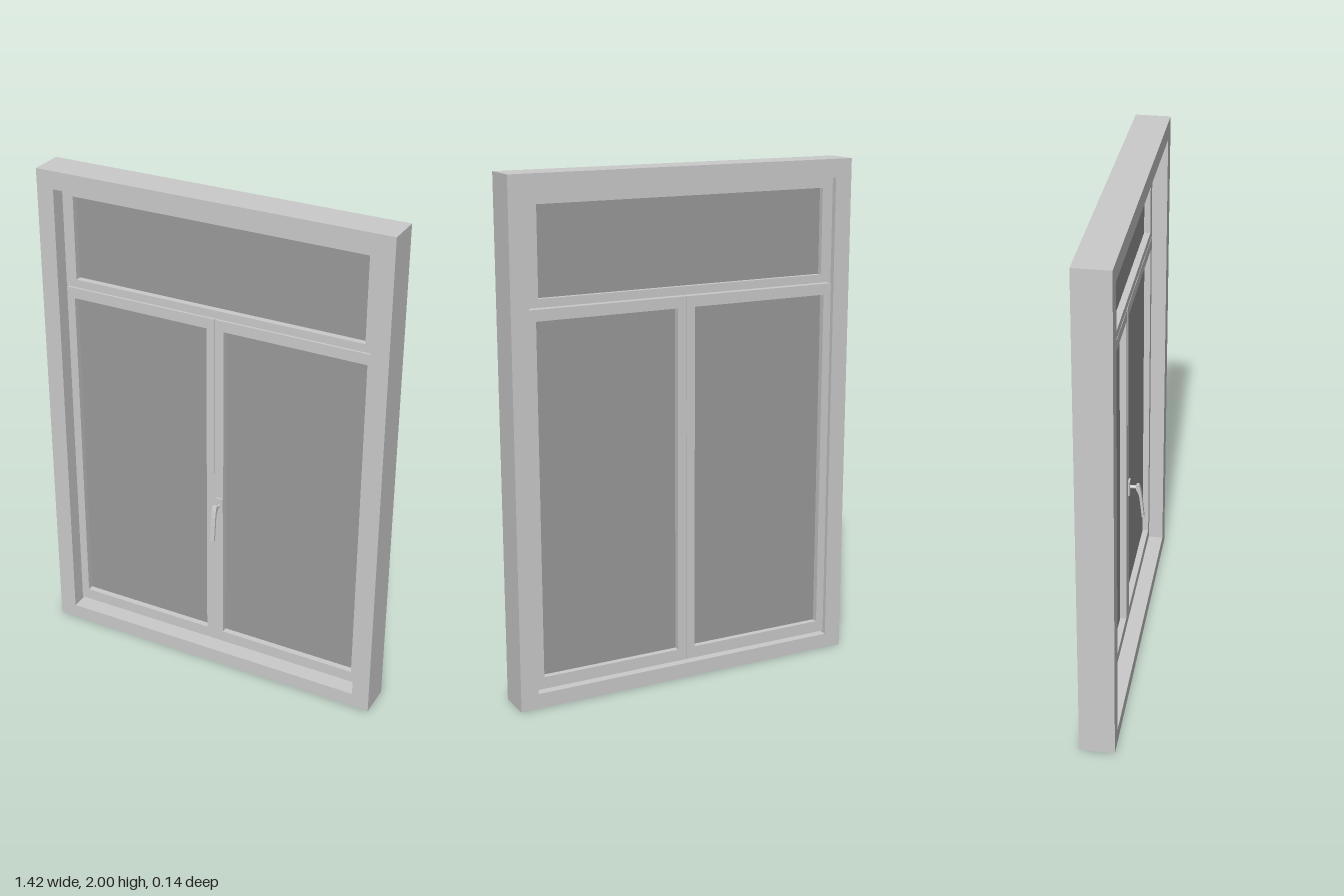
import * as THREE from 'three';

const grey = new THREE.MeshStandardMaterial({ color: 0xcccccc });
const glassGrey = new THREE.MeshStandardMaterial({ color: 0x9b9b9b });

function mesh(name, geometry, material = grey) {
  const m = new THREE.Mesh(geometry, material);
  m.name = name;
  return m;
}

// Box given by its minimum and maximum corners
function block(name, [x0, y0, z0], [x1, y1, z1], material) {
  const m = mesh(name, new THREE.BoxGeometry(x1 - x0, y1 - y0, z1 - z0), material);
  m.position.set((x0 + x1) / 2, (y0 + y1) / 2, (z0 + z1) / 2);
  return m;
}

function trace(path, [x0, y0, x1, y1]) {
  path.moveTo(x0, y0);
  path.lineTo(x1, y0);
  path.lineTo(x1, y1);
  path.lineTo(x0, y1);
  path.closePath();
  return path;
}

// Rectangular ring; rectangles are [left, bottom, right, top]
function ring(name, outer, inner, z0, z1) {
  const shape = trace(new THREE.Shape(), outer);
  shape.holes.push(trace(new THREE.Path(), inner));
  const geometry = new THREE.ExtrudeGeometry(shape, { depth: z1 - z0, bevelEnabled: false });
  geometry.translate(0, 0, z0);
  return mesh(name, geometry);
}

// Sash ring with its pane set into the middle of the depth
function sash(name, outer, pane, z0, z1) {
  const group = new THREE.Group();
  group.name = name;
  const [l, b, r, t] = pane;
  group.add(
    ring('sashFrame', outer, pane, z0, z1),
    block('glass', [l, b, -0.03], [r, t, -0.02], glassGrey)
  );
  return group;
}

// Lever handle: base plate, neck and a grip bent outward as it drops
function handle() {
  const group = new THREE.Group();
  group.name = 'handle';
  const neck = mesh('handleNeck', new THREE.CylinderGeometry(0.007, 0.007, 0.045, 12));
  neck.rotation.x = Math.PI / 2;
  neck.position.set(0.02, 0.725, 0.027);

  // Side profile, drawn as (z, y)
  const side = new THREE.Shape();
  side.moveTo(0.037, 0.738);
  side.lineTo(0.048, 0.738);
  side.quadraticCurveTo(0.056, 0.715, 0.060, 0.68);
  side.lineTo(0.069, 0.59);
  side.lineTo(0.060, 0.59);
  side.lineTo(0.050, 0.68);
  side.quadraticCurveTo(0.046, 0.705, 0.037, 0.715);
  side.closePath();
  const grip = new THREE.ExtrudeGeometry(side, { depth: 0.018, bevelEnabled: false, curveSegments: 6 });
  grip.rotateY(-Math.PI / 2).scale(-1, 1, 1);
  // The mirror reverses the winding, so swap two corners of each triangle
  const p = grip.attributes.position;
  for (let i = 0; i < p.count; i += 3) {
    const a = [p.getX(i), p.getY(i), p.getZ(i)];
    p.setXYZ(i, p.getX(i + 1), p.getY(i + 1), p.getZ(i + 1));
    p.setXYZ(i + 1, ...a);
  }
  grip.translate(0.011, 0, 0);
  grip.computeVertexNormals();

  group.add(
    block('handlePlate', [0.006, 0.69, 0.004], [0.034, 0.755, 0.012]),
    neck,
    mesh('handleGrip', grip)
  );
  return group;
}

export function createModel() {
  const model = new THREE.Group();
  model.name = 'window';

  model.add(ring('outerFrame', [-0.71, 0, 0.71, 2], [-0.64, 0.06, 0.64, 1.93], -0.072, 0.065));

  // Fixed light above two casements
  model.add(sash('upperSash', [-0.64, 1.523, 0.638, 1.93], [-0.595, 1.555, 0.595, 1.89], -0.05, 0.005));
  for (const s of [-1, 1]) {
    const span = (a, b, y0, y1) => (s > 0 ? [a, y0, b, y1] : [-b, y0, -a, y1]);
    model.add(sash(
      s > 0 ? 'leftCasement' : 'rightCasement',
      span(0.001, 0.64, 0.068, 1.518),
      span(0.036, 0.607, 0.115, 1.475),
      -0.054, 0.005
    ));
  }

  model.add(handle());
  return model;
}
